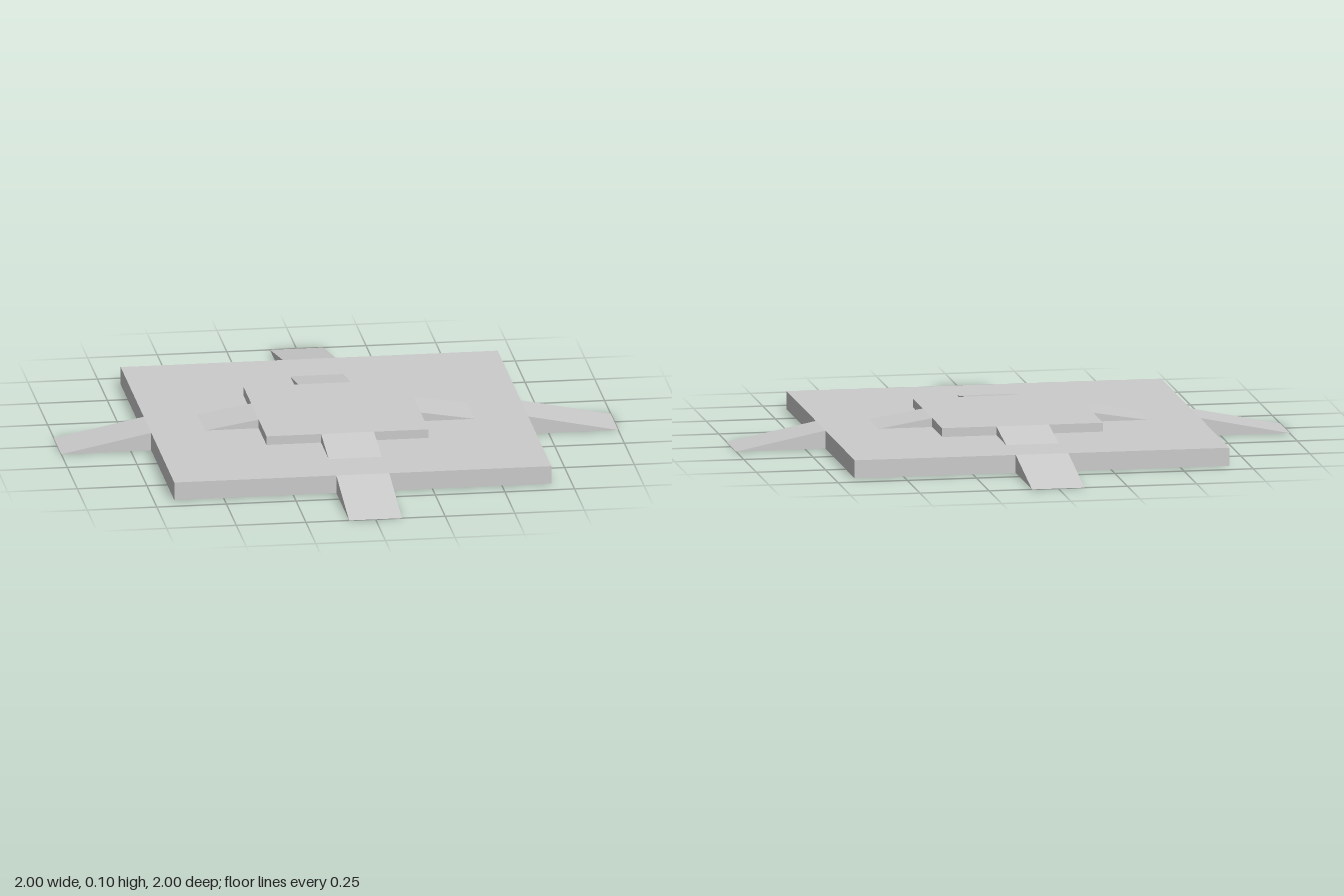
import * as THREE from 'three';

const material = new THREE.MeshStandardMaterial({ color: 0xcccccc, flatShading: true });
const RAMP_WIDTH = 0.19;

// Square slab standing on height y
function slab(name, half, y, height) {
  const mesh = new THREE.Mesh(new THREE.BoxGeometry(half * 2, height, half * 2), material);
  mesh.name = name;
  mesh.position.y = y + height / 2;
  return mesh;
}

// Wedge sloping down along +x from the slab edge to its foot
function rampGeometry(inner, outer, height) {
  const profile = new THREE.Shape([
    new THREE.Vector2(inner, 0),
    new THREE.Vector2(outer, 0),
    new THREE.Vector2(inner, height),
  ]);
  const geometry = new THREE.ExtrudeGeometry(profile, { depth: RAMP_WIDTH, bevelEnabled: false });
  return geometry.translate(0, 0, -RAMP_WIDTH / 2);
}

// One square tier with a ramp in the middle of each side
function tier(name, half, reach, y, height) {
  const group = new THREE.Group();
  group.name = name;
  group.add(slab(name + 'Slab', half, y, height));
  const geometry = rampGeometry(half, reach, height);
  ['Left', 'Back', 'Right', 'Front'].forEach((side, i) => {
    const ramp = new THREE.Mesh(geometry, material);
    ramp.name = name + 'Ramp' + side;
    ramp.position.y = y;
    ramp.rotation.y = i * Math.PI / 2;
    group.add(ramp);
  });
  return group;
}

export function createModel() {
  const model = new THREE.Group();
  model.name = 'steppedPlatform';
  model.add(tier('lowerTier', 0.677, 1, 0, 0.065));
  model.add(tier('upperTier', 0.291, 0.485, 0.065, 0.032));
  return model;
}
